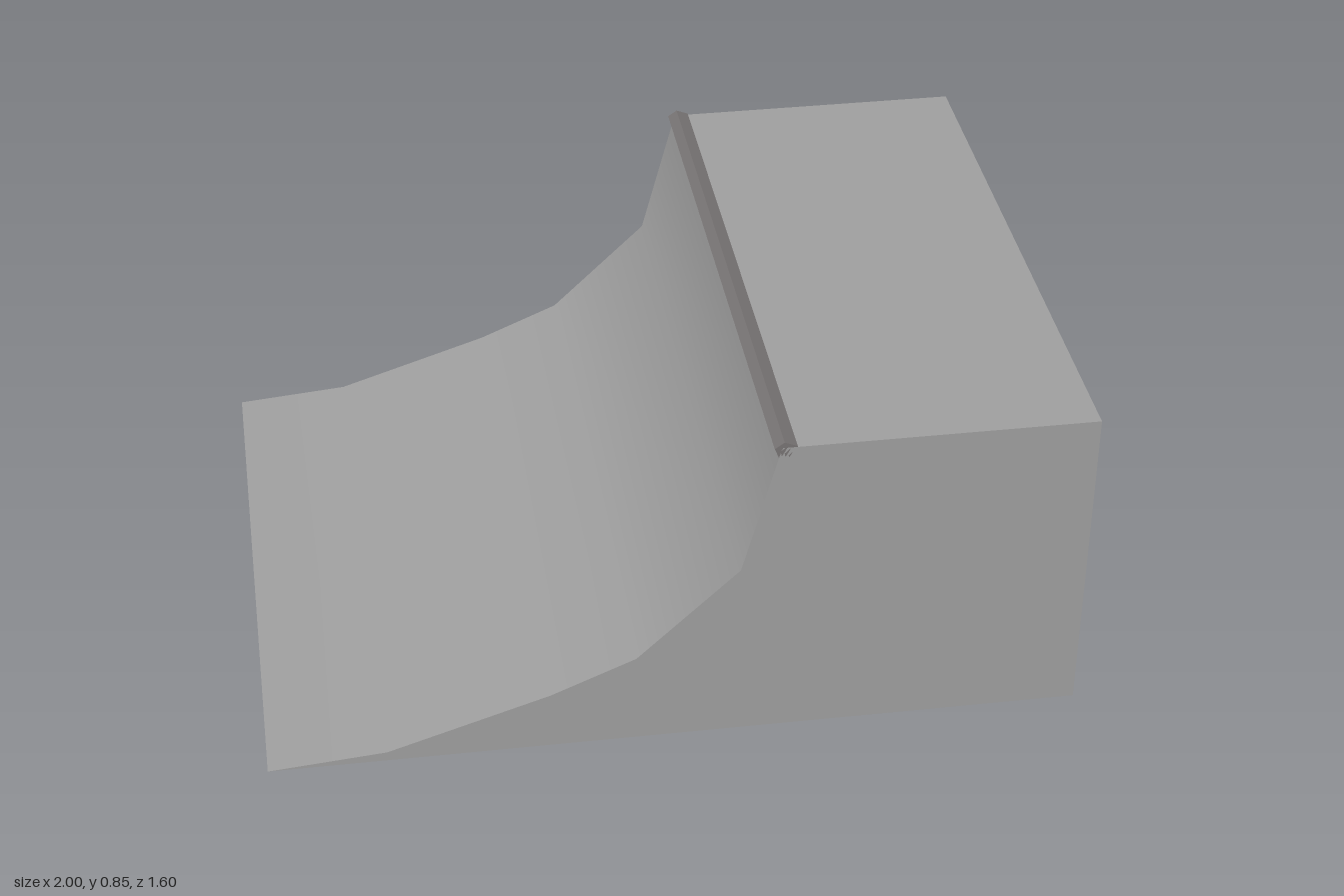
import * as THREE from 'three';

const WIDTH = 1.6;

// Extrude an x/y outline across the full width, centred on z = 0
function extrude(points) {
  const shape = new THREE.Shape(points.map(([x, y]) => new THREE.Vector2(x, y)));
  const geometry = new THREE.ExtrudeGeometry(shape, { depth: WIDTH, bevelEnabled: false });
  geometry.translate(0, 0, -WIDTH / 2);
  return geometry;
}

// Average the normals of the selected faces along each profile edge
function smoothFaces(geometry, isSmooth) {
  const pos = geometry.attributes.position;
  const nor = geometry.attributes.normal;
  const sums = new Map();
  const n = new THREE.Vector3();
  const key = (i) => `${pos.getX(i).toFixed(3)},${pos.getY(i).toFixed(3)}`;
  const chosen = [];
  for (let i = 0; i < pos.count; i++) {
    n.fromBufferAttribute(nor, i);
    if (!isSmooth(n)) continue;
    chosen.push(i);
    if (!sums.has(key(i))) sums.set(key(i), new THREE.Vector3());
    sums.get(key(i)).add(n);
  }
  for (const i of chosen) {
    n.copy(sums.get(key(i))).normalize();
    nor.setXYZ(i, n.x, n.y, n.z);
  }
  return geometry;
}

export function createModel() {
  const concrete = new THREE.MeshStandardMaterial({ name: 'concrete grey', color: 0xa0a0a0 });
  const steel = new THREE.MeshStandardMaterial({ name: 'dark steel', color: 0x787474 });

  const model = new THREE.Group();
  model.name = 'quarterPipe';

  // Solid ramp: flat base, back wall, deck and curved riding face
  const rampGeometry = extrude([
    [-1, 0], [1, 0], [1, 0.83], [0.24, 0.83],
    [0.15, 0.485], [-0.1, 0.245], [-0.31, 0.155], [-0.71, 0.025],
  ]);
  smoothFaces(rampGeometry, (n) => n.x < -0.01 && n.y > 0.01);
  const ramp = new THREE.Mesh(rampGeometry, concrete);
  ramp.name = 'ramp';
  model.add(ramp);

  // Coping rail along the lip
  const coping = new THREE.Mesh(extrude([
    [0.222, 0.829], [0.232, 0.805], [0.263, 0.803], [0.276, 0.815], [0.276, 0.833], [0.245, 0.845],
  ]), steel);
  coping.name = 'coping';
  model.add(coping);

  return model;
}
